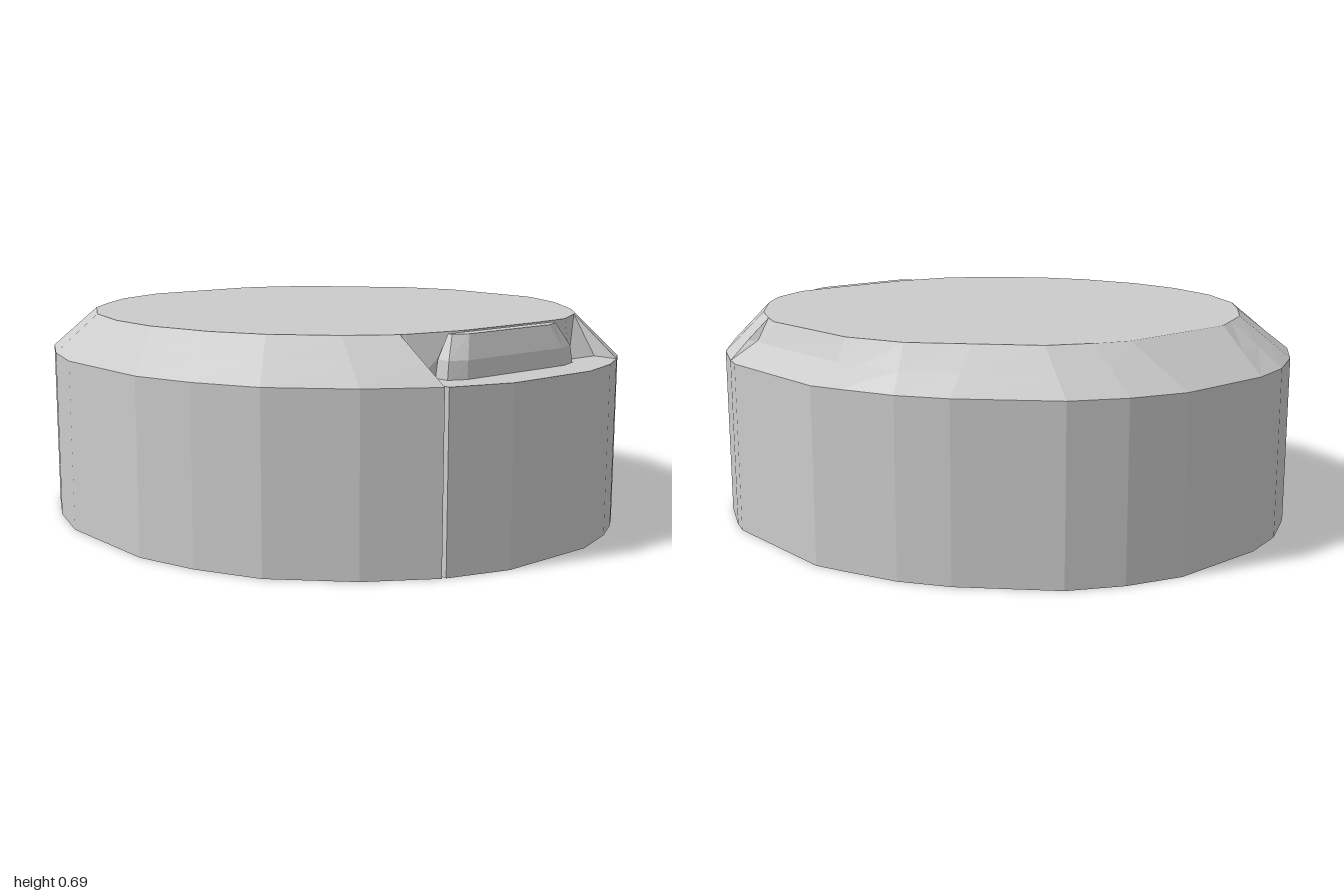
import * as THREE from 'three';

const TOP = 0.685, RIM = 0.555;

// Joins stacked closed loops of [x, y, z] points (ordered +x to +z) and caps both ends.
function loft(name, loops, material) {
  const pos = [];
  const tri = (a, b, c) => pos.push(...a, ...b, ...c);
  const n = loops[0].length;
  const centre = loop => [0, 1, 2].map(k => loop.reduce((s, p) => s + p[k], 0) / n);
  const low = centre(loops[0]), high = centre(loops[loops.length - 1]);
  for (let i = 0; i < n; i++) {
    const j = (i + 1) % n;
    for (let r = 0; r + 1 < loops.length; r++) {
      const a = loops[r], b = loops[r + 1];
      tri(a[i], b[i], a[j]);
      tri(a[j], b[i], b[j]);
    }
    tri(low, loops[0][i], loops[0][j]);
    tri(high, loops[loops.length - 1][j], loops[loops.length - 1][i]);
  }
  const geometry = new THREE.BufferGeometry();
  geometry.setAttribute('position', new THREE.Float32BufferAttribute(pos, 3));
  geometry.computeVertexNormals();
  const mesh = new THREE.Mesh(geometry, material);
  mesh.name = name;
  return mesh;
}

// Outline stations: outer x, z, top edge x, z, and the kind of bevel.
const BEVEL = 0, LEDGE = 1, DENT = 2;
const stations = [
  [1, 0.16, 0.79, 0.16, LEDGE], [0.935, 0.358, 0.75, 0.352, LEDGE],
  [0.9, 0.355, 0.747, 0.36, LEDGE], [0.93, 0.37, 0.745, 0.37, LEDGE], // narrow seam
  [0.93, 0.37, 0.745, 0.37, BEVEL], [0.8, 0.57, 0.65, 0.51, BEVEL],
  [0.6, 0.765, 0.49, 0.66, BEVEL], [0.4, 0.865, 0.33, 0.745, BEVEL],
  [0.2, 0.925, 0.1, 0.805, BEVEL], [-0.2, 0.925, -0.1, 0.805, BEVEL],
  [-0.4, 0.865, -0.31, 0.755, BEVEL], [-0.59, 0.77, -0.5, 0.65, BEVEL],
  [-0.75, 0.64, -0.61, 0.54, BEVEL], [-0.87, 0.49, -0.72, 0.41, BEVEL],
  [-0.96, 0.32, -0.77, 0.3, BEVEL], [-1, 0.16, -0.81, 0.21, BEVEL],
  [-1, -0.18, -0.81, -0.22, BEVEL], [-0.94, -0.36, -0.77, -0.33, BEVEL],
  [-0.85, -0.52, -0.7, -0.46, BEVEL], [-0.61, -0.74, -0.54, -0.6, BEVEL],
  [-0.47, -0.83, -0.39, -0.73, BEVEL], [-0.3, -0.895, -0.28, -0.77, DENT],
  [-0.2, -0.93, -0.2, -0.8, DENT], [0.25, -0.92, 0.2, -0.8, DENT],
  [0.29, -0.905, 0.28, -0.77, DENT], [0.31, -0.9, 0.3, -0.76, BEVEL],
  [0.48, -0.82, 0.41, -0.71, BEVEL], [0.69, -0.66, 0.6, -0.57, BEVEL],
  [0.84, -0.52, 0.69, -0.48, BEVEL], [0.89, -0.45, 0.71, -0.45, BEVEL],
  [0.89, -0.45, 0.71, -0.45, LEDGE], [0.95, -0.34, 0.78, -0.32, LEDGE],
  [1, -0.18, 0.79, -0.18, LEDGE],
];

// Middle of the bevel: even slope, flat ledge with upright wall, or shallow dent.
function bevelMiddle([x, z, ix, iz, kind]) {
  if (kind === LEDGE) return [Math.max(ix, 0.8), RIM, iz];
  const t = kind === DENT ? 0.7 : 0.46;
  return [x + (ix - x) * t, RIM + 0.46 * (TOP - RIM), z + (iz - z) * t];
}

export function createModel() {
  const model = new THREE.Group();
  model.name = 'bevelledDrum';
  const material = new THREE.MeshStandardMaterial({ color: 0xcccccc, flatShading: true });

  // Drum with a bevelled rim and a ledge cut into one side
  model.add(loft('drumBody', [
    stations.map(s => [s[0], 0, s[1]]),
    stations.map(s => [s[0], RIM, s[1]]),
    stations.map(bevelMiddle),
    stations.map(s => [s[2], TOP, s[3]]),
  ], material));

  // Small tapered catch standing on the ledge
  const catchLoop = (y, x, half) => [
    [x, y, -half * 0.75], [x, y, half * 0.8], [x - 0.025, y, half],
    [0.8, y, half], [0.8, y, -half], [x - 0.025, y, -half],
  ];
  model.add(loft('sideCatch', [
    catchLoop(RIM - 0.01, 0.875, 0.28),
    catchLoop(0.61, 0.87, 0.27),
    catchLoop(TOP - 0.003, 0.842, 0.23),
  ], material));

  return model;
}
